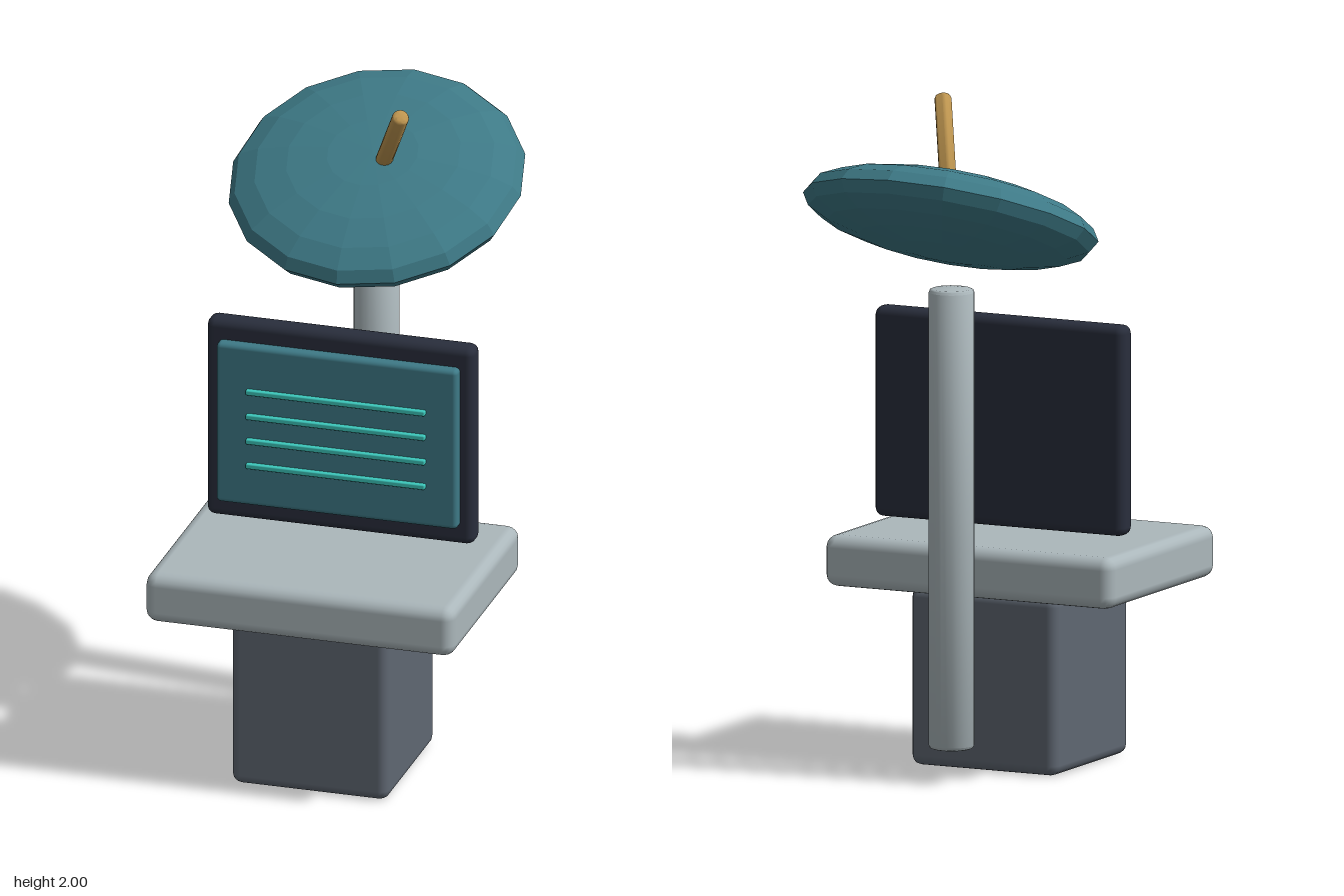
import * as THREE from 'three';
import { RoundedBoxGeometry } from 'three/addons/geometries/RoundedBoxGeometry.js';
import { toCreasedNormals } from 'three/addons/utils/BufferGeometryUtils.js';

const mat = (name, color, flatShading = false) => {
  const m = new THREE.MeshStandardMaterial({ color, flatShading });
  m.name = name;
  return m;
};

export function createModel() {
  const model = new THREE.Group();
  model.name = 'consoleStation';

  const paleGrey = mat('pale grey', 0xabb7bb);
  const slate = mat('slate', 0x5f6772);
  const navy = mat('dark navy', 0x292e3c);
  const teal = mat('teal', 0x3e7a87);
  const dishTeal = mat('dish teal', 0x3e7a87, true);
  const aqua = mat('aqua', 0x3cc8bc);
  const brass = mat('brass', 0xbf9650);

  const add = (name, geometry, material, x, y, z) => {
    const mesh = new THREE.Mesh(geometry, material);
    mesh.name = name;
    mesh.position.set(x, y, z);
    model.add(mesh);
    return mesh;
  };

  // rounded box given by its y and z limits, centred on x
  const slab = (name, width, [y0, y1], [z0, z1], radius, material) =>
    add(name, new RoundedBoxGeometry(width, y1 - y0, z1 - z0, 2, radius), material,
      0, (y0 + y1) / 2, (z0 + z1) / 2);

  // solid rod with bevelled ends, centred on its own origin
  const rod = (radius, length, bevel, sides) => {
    const h = length / 2;
    const profile = [
      [0, -h], [radius - bevel, -h], [radius - bevel * 0.3, -h + bevel * 0.3], [radius, -h + bevel],
      [radius, h - bevel], [radius - bevel * 0.3, h - bevel * 0.3], [radius - bevel, h], [0, h],
    ].map(([x, y]) => new THREE.Vector2(x, y));
    return toCreasedNormals(new THREE.LatheGeometry(profile, sides), 0.9);
  };

  // desk
  slab('pedestal', 0.48, [0, 0.53], [0.01, 0.49], 0.03, slate);
  slab('desktop', 0.946, [0.527, 0.68], [-0.092, 0.598], 0.036, paleGrey);

  // monitor
  slab('monitorFrame', 0.82, [0.71, 1.335], [0.11, 0.182], 0.025, navy);
  slab('screen', 0.738, [0.77, 1.275], [0.165, 0.215], 0.014, teal);
  for (let i = 0; i < 4; i++) {
    const y = 0.9 + i * 0.078;
    slab('screenLine', 0.548, [y - 0.008, y + 0.008], [0.211, 0.23], 0.004, aqua);
  }

  // mast behind the desk
  add('mast', rod(0.067, 1.365, 0.01, 24), paleGrey, 0, 0.782, -0.188);

  // tilted, flattened dish
  const dish = add('dish', new THREE.SphereGeometry(0.44, 16, 10), dishTeal, 0, 1.678, -0.193);
  dish.scale.y = 0.26;
  dish.rotation.x = 0.4;

  // feed rod leaning out of the dish
  const start = new THREE.Vector3(0.038, 1.763, -0.135);
  const end = new THREE.Vector3(0.146, 1.99, 0.043);
  const axis = end.clone().sub(start);
  const mid = start.clone().add(end).multiplyScalar(0.5);
  const feed = add('feedRod', rod(0.025, axis.length(), 0.01, 16), brass, mid.x, mid.y, mid.z);
  feed.quaternion.setFromUnitVectors(new THREE.Vector3(0, 1, 0), axis.normalize());

  return model;
}
